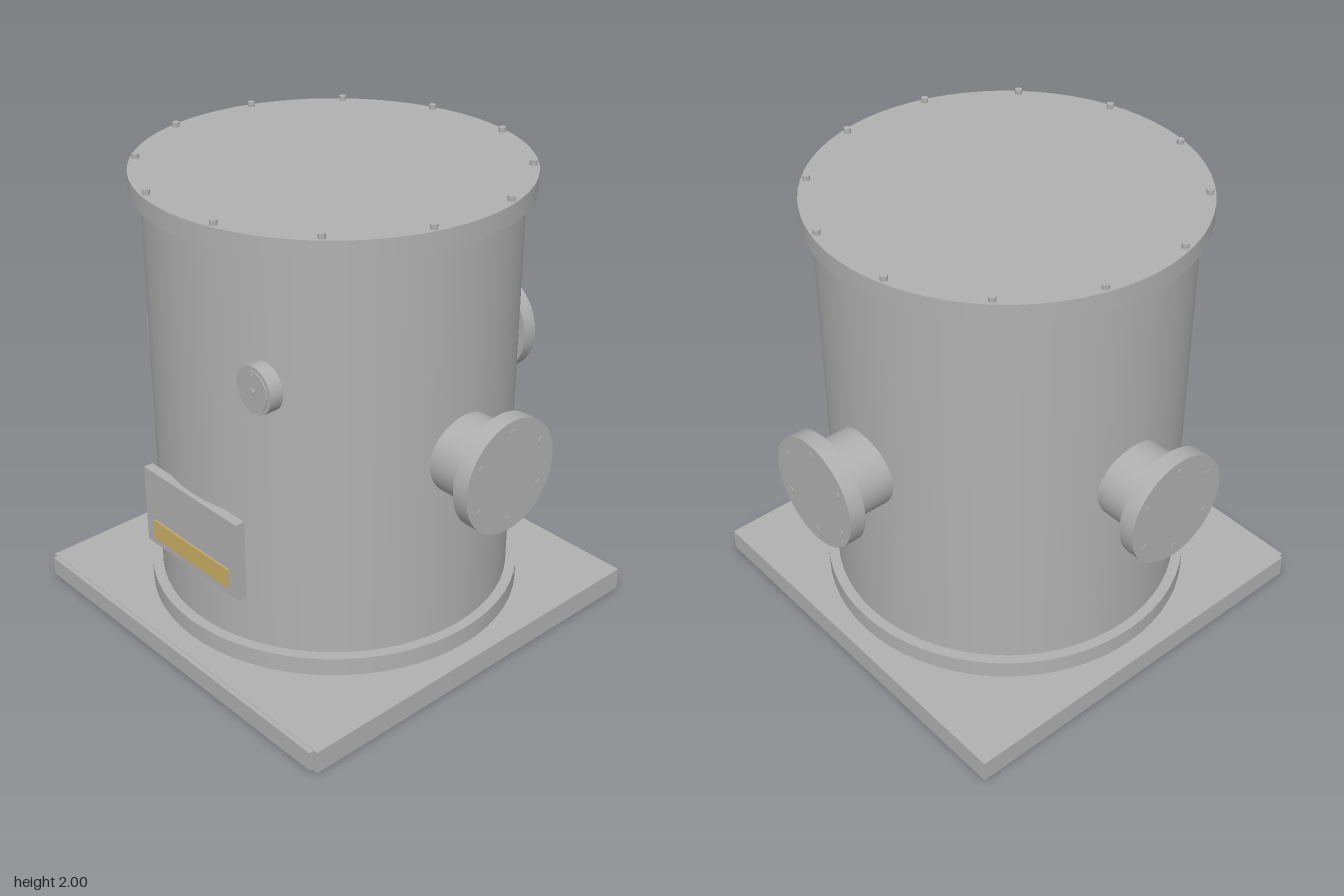
import * as THREE from 'three';

export function createModel() {
  const model = new THREE.Group();
  model.name = 'vesselOnPlinth';
  const steel = new THREE.MeshStandardMaterial({ color: 0xb0b0b0 });
  steel.name = 'steel grey';
  const brass = new THREE.MeshStandardMaterial({ color: 0xc9b060 });
  brass.name = 'label yellow';

  const add = (parent, name, geometry, x = 0, y = 0, z = 0, material = steel) => {
    const mesh = new THREE.Mesh(geometry, material);
    mesh.name = name;
    mesh.position.set(x, y, z);
    parent.add(mesh);
    return mesh;
  };
  const box = (w, h, d) => new THREE.BoxGeometry(w, h, d);
  // Cylinder standing on y = 0
  const disc = (r, h, sides = 64) => new THREE.CylinderGeometry(r, r, h, sides).translate(0, h / 2, 0);
  const CZ = 0.04; // vessel axis

  // Plinth with a thin strip on its front edge
  add(model, 'basePlate', box(1.78, 0.1, 1.78), 0, 0.05, CZ);
  add(model, 'baseFrontStrip', box(1.74, 0.085, 0.02), 0, 0.055, 0.94);

  // Vessel body with bottom ring and lid
  add(model, 'tankBody', disc(0.755, 1.85), 0, 0.1, CZ);
  add(model, 'bottomFlange', disc(0.8, 0.08), 0, 0.1, CZ);
  add(model, 'lid', disc(0.8, 0.08), 0, 1.9, CZ);
  for (let i = 0; i < 12; i++) {
    const a = ((i + 0.5) * Math.PI) / 6;
    add(model, 'lidBolt', disc(0.015, 0.03, 12), 0.776 * Math.sin(a), 1.97, CZ + 0.776 * Math.cos(a));
  }

  // Three flanged side ports: left, right and back; built along +z and turned outward
  const ports = { leftPort: Math.PI / 2, rightPort: -Math.PI / 2, backPort: Math.PI };
  for (const [name, turn] of Object.entries(ports)) {
    const port = new THREE.Group();
    port.name = name;
    port.position.set(0, 0.993, CZ);
    port.rotation.y = turn;
    const along = (g) => g.rotateX(Math.PI / 2);
    add(port, 'portNeck', along(disc(0.17, 0.32, 48)), 0, 0, 0.62);
    add(port, 'portFlange', along(disc(0.24, 0.07, 48)), 0, 0, 0.925);
    for (let i = 0; i < 6; i++) {
      const a = (i * Math.PI) / 3;
      add(port, 'portBolt', along(disc(0.016, 0.085, 12)), 0.19 * Math.sin(a), 0.19 * Math.cos(a), 0.913);
    }
    model.add(port);
  }

  // Dial gauge with needle
  const gauge = new THREE.Group();
  gauge.name = 'gauge';
  gauge.position.set(0.392, 1.39, 0.725);
  add(gauge, 'gaugeCase', disc(0.097, 0.06, 40).rotateX(Math.PI / 2));
  add(gauge, 'gaugeFace', disc(0.08, 0.004, 40).rotateX(Math.PI / 2), 0, 0, 0.06);
  add(gauge, 'gaugeNeedle', box(0.014, 0.07, 0.006), 0, 0.035, 0.067);
  add(gauge, 'gaugeHub', disc(0.014, 0.012, 16).rotateX(Math.PI / 2), 0, 0, 0.062);
  model.add(gauge);

  // Name plate with a yellow band
  add(model, 'namePlate', box(0.595, 0.35, 0.042), 0, 0.6, 0.796);
  add(model, 'namePlateBand', box(0.485, 0.085, 0.008), 0, 0.503, 0.82, brass);

  return model;
}
